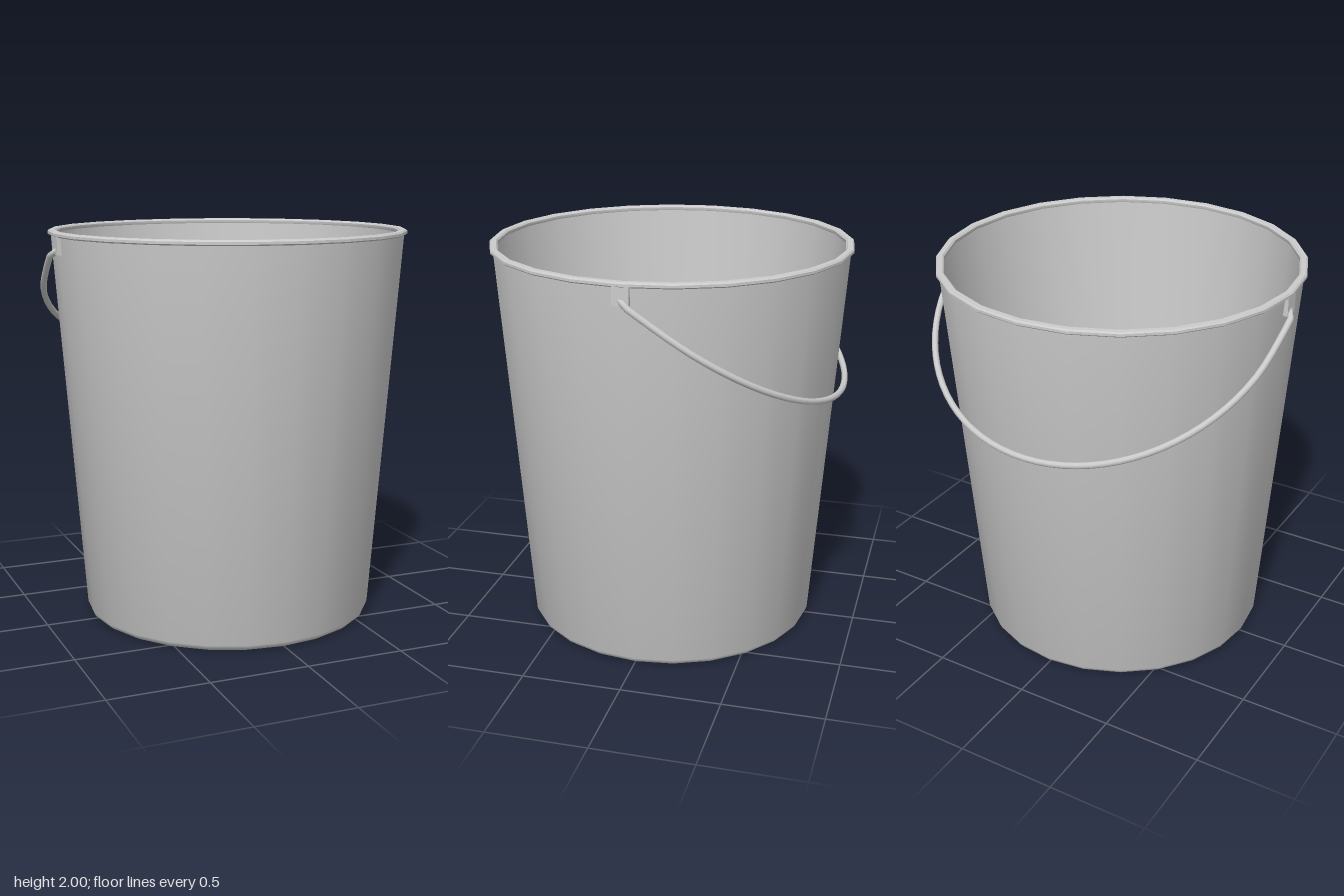
import * as THREE from 'three';
import { toCreasedNormals } from 'three/addons/utils/BufferGeometryUtils.js';

export function createModel() {
  const group = new THREE.Group();
  const material = new THREE.MeshStandardMaterial({ color: 0xcccccc });
  const add = (name, geometry) => {
    const mesh = new THREE.Mesh(geometry, material);
    mesh.name = name;
    group.add(mesh);
    return mesh;
  };
  const lathe = (points) => toCreasedNormals(
    new THREE.LatheGeometry(points.map(([r, y]) => new THREE.Vector2(r, y)), 24), 0.6);

  // Tapered body: underside, chamfer, outer wall, inner wall, floor
  add('bucketBody', lathe([
    [0, 0], [0.725, 0], [0.742, 0.012], [0.75, 0.03],
    [0.897, 1.98], [0.875, 1.98], [0.715, 0.03], [0, 0.03],
  ]));

  // Rolled rim, a closed ring
  add('rim', lathe([
    [0.875, 1.974], [0.905, 1.974], [0.912, 1.98], [0.912, 1.992],
    [0.905, 2], [0.88, 2], [0.872, 1.992], [0.872, 1.98], [0.875, 1.974],
  ]));

  // Small plates that carry the handle, one on each side
  for (const side of [1, -1]) {
    const tab = add(side > 0 ? 'leftHandleTab' : 'rightHandleTab',
      new THREE.BoxGeometry(0.025, 0.09, 0.08));
    tab.position.set(side * 0.896, 1.935, 0);
  }

  // Wire handle hanging at the back: short straight legs and a half circle,
  // laid out in a sloping plane, with ends turned in to the plates
  const slope = Math.atan2(0.625, 0.9);
  const at = (x, d) => new THREE.Vector3(x, 1.91 - d * Math.sin(slope), -d * Math.cos(slope));
  const path = [at(0.895, -0.01), at(0.918, 0.01)];
  for (let i = 0; i <= 12; i++) {
    const a = (i / 12) * Math.PI;
    path.push(at(0.918 * Math.cos(a), 0.15 + 0.93 * Math.sin(a)));
  }
  path.push(at(-0.918, 0.01), at(-0.895, -0.01));
  add('handle', new THREE.TubeGeometry(
    new THREE.CatmullRomCurve3(path, false, 'centripetal'), 48, 0.016, 8));

  return group;
}
